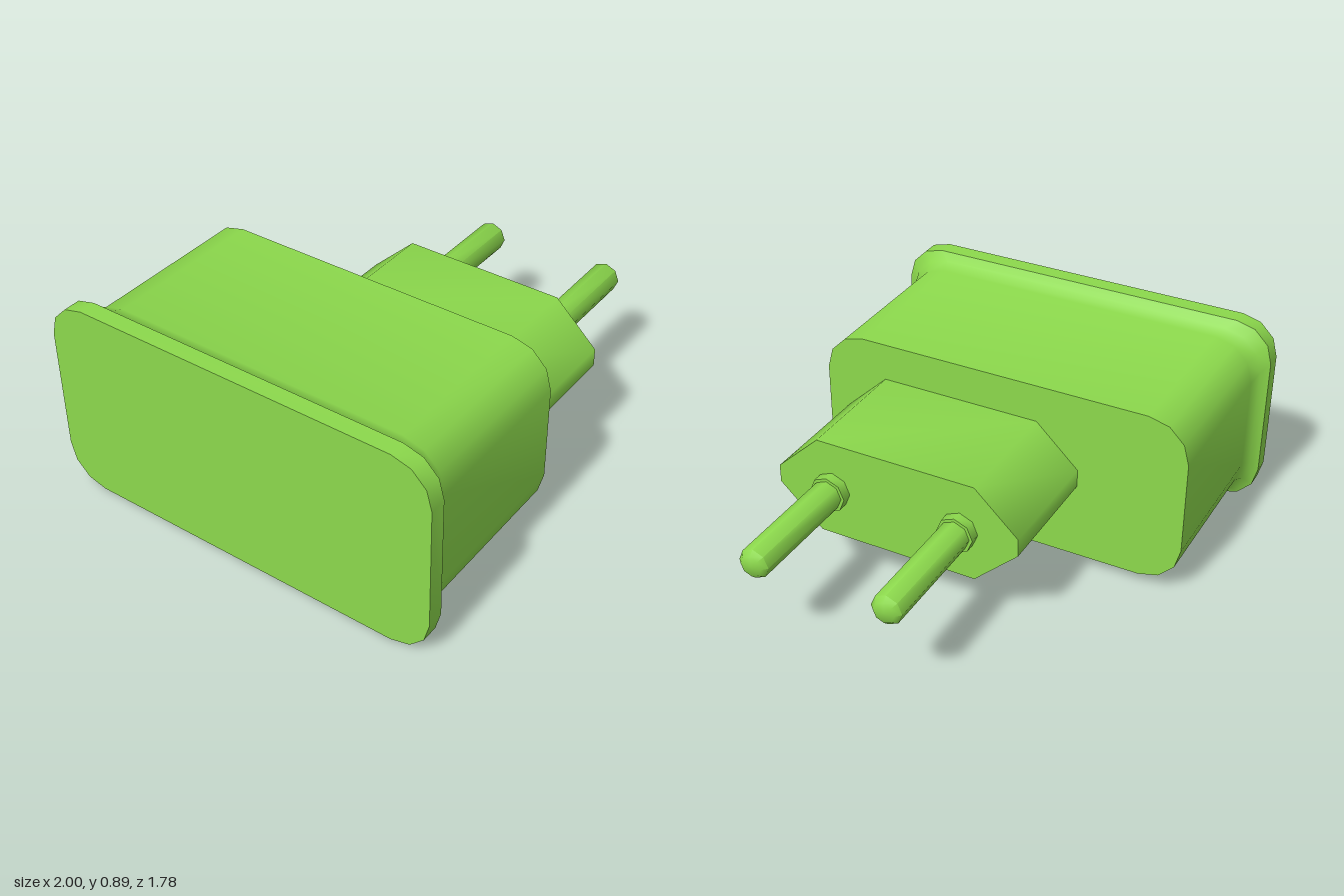
import * as THREE from 'three';
import { toCreasedNormals } from 'three/addons/utils/BufferGeometryUtils.js';

const MID_Y = 0.443;

// Cross-sections are [y, z] loops running from +y towards +z.
function roundedRect(halfY, halfZ, r, segments = 3) {
  const points = [];
  const corners = [[1, 1], [-1, 1], [-1, -1], [1, -1]];
  corners.forEach(([sy, sz], c) => {
    for (let i = 0; i <= segments; i++) {
      const a = (c + i / segments) * Math.PI / 2;
      points.push([sy * (halfY - r) + r * Math.cos(a), sz * (halfZ - r) + r * Math.sin(a)]);
    }
  });
  return points;
}

function ring(r, sides = 8) {
  return Array.from({ length: sides }, (_, i) => {
    const a = i / sides * Math.PI * 2;
    return [r * Math.cos(a), r * Math.sin(a)];
  });
}

// Joins the sections along x and closes both ends.
function loft(sections) {
  const positions = [];
  const add = (...corners) => corners.forEach(p => positions.push(...p));
  const rings = sections.map(([x, loop]) => loop.map(([y, z]) => [x, y, z]));
  const n = rings[0].length;
  const first = rings[0], last = rings[rings.length - 1];
  for (let j = 0; j < n; j++) {
    const k = (j + 1) % n;
    for (let i = 0; i < rings.length - 1; i++) {
      const a = rings[i], b = rings[i + 1];
      add(a[j], a[k], b[k], a[j], b[k], b[j]);
    }
    add([first[0][0], 0, 0], first[k], first[j]);
    add([last[0][0], 0, 0], last[j], last[k]);
  }
  const geometry = new THREE.BufferGeometry();
  geometry.setAttribute('position', new THREE.Float32BufferAttribute(positions, 3));
  return toCreasedNormals(geometry, 0.85);
}

export function createModel() {
  const model = new THREE.Group();
  model.name = 'plugAdapter';
  const green = new THREE.MeshStandardMaterial({ color: 0x8cd94c });
  green.name = 'green';

  const part = (name, sections, z = 0) => {
    const mesh = new THREE.Mesh(loft(sections), green);
    mesh.name = name;
    mesh.position.set(0, MID_Y, z);
    model.add(mesh);
  };

  // Housing with a rim that flares out at the closed end
  const rim = roundedRect(0.443, 0.89, 0.17);
  const body = roundedRect(0.39, 0.838, 0.18);
  part('housing', [
    [-1, rim],
    [-0.925, rim],
    [-0.9, roundedRect(0.407, 0.855, 0.175)],
    [-0.84, body],
    [-0.12, body],
  ]);

  // Eight-sided plug block, set off centre
  const plugZ = 0.19;
  const plug = [
    [0.222, 0.36], [0.04, 0.553], [-0.04, 0.553], [-0.222, 0.36],
    [-0.222, -0.36], [-0.04, -0.553], [0.04, -0.553], [0.222, -0.36],
  ];
  part('plugBlock', [[-0.12, plug], [0.42, plug]], plugZ);

  // Two contact pins with collars and bevelled tips
  for (const [side, sign] of [['left', -1], ['right', 1]]) {
    const z = plugZ + sign * 0.295;
    part(side + 'Collar', [[0.42, ring(0.081)], [0.465, ring(0.081)]], z);
    part(side + 'Pin', [[0.46, ring(0.067)], [0.978, ring(0.067)], [1, ring(0.046)]], z);
  }
  return model;
}
